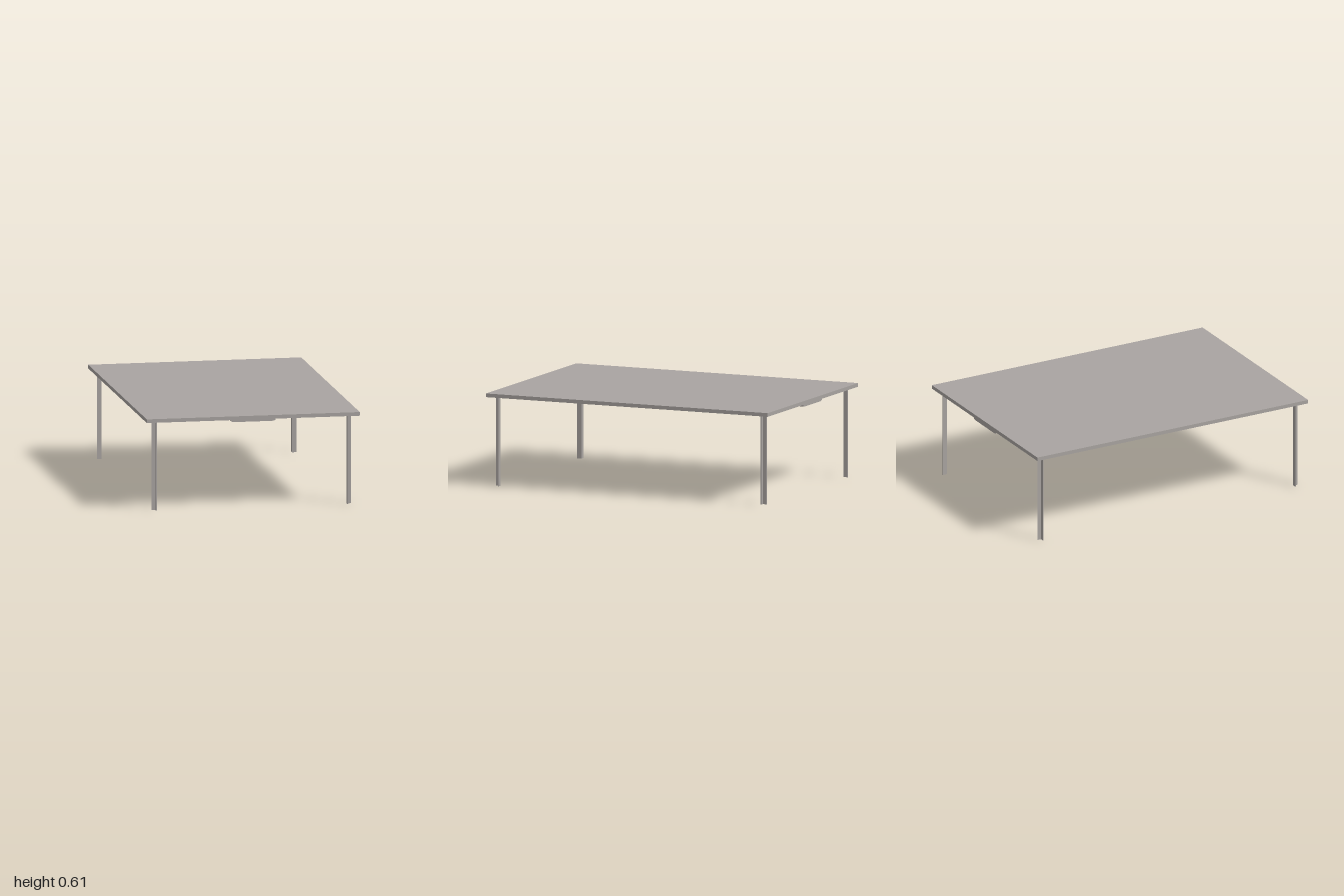
import * as THREE from 'three';

export function createModel() {
  const model = new THREE.Group();
  model.name = 'table';
  const grey = new THREE.MeshStandardMaterial({ color: 0xa9a4a1 });
  grey.name = 'warm grey';

  const add = (name, geometry) => {
    const mesh = new THREE.Mesh(geometry, grey);
    mesh.name = name;
    model.add(mesh);
    return mesh;
  };

  // Flat top slab
  const TOP = 0.608, UNDER = 0.584;
  add('tableTop', new THREE.BoxGeometry(1.4, TOP - UNDER, 2)).position.y = (TOP + UNDER) / 2;

  // Shallow tray along the whole underside, with rounded lower edges
  const tray = new THREE.Shape();
  tray.moveTo(-0.145, UNDER);
  tray.lineTo(-0.145, 0.576);
  tray.quadraticCurveTo(-0.135, 0.57, -0.115, 0.57);
  tray.lineTo(0.115, 0.57);
  tray.quadraticCurveTo(0.135, 0.57, 0.145, 0.576);
  tray.lineTo(0.145, UNDER);
  const trayGeometry = new THREE.ExtrudeGeometry(tray, { depth: 1.996, bevelEnabled: false, curveSegments: 6 });
  add('underTray', trayGeometry.translate(0, 0, -0.998));

  // Angle-section legs, the inner corner of each angle towards the table centre
  const X = 0.626, Z = 0.93, SIZE = 0.03, T = 0.005;
  for (const sx of [-1, 1]) {
    for (const sz of [-1, 1]) {
      const p = (x, z) => new THREE.Vector2(sx * (X + x), -sz * (Z + z));
      const section = new THREE.Shape([
        p(0, 0), p(SIZE, 0), p(SIZE, T), p(T, T), p(T, SIZE), p(0, SIZE),
      ]);
      const leg = new THREE.ExtrudeGeometry(section, { depth: UNDER, bevelEnabled: false });
      leg.rotateX(-Math.PI / 2);
      add((sz > 0 ? 'front' : 'back') + (sx > 0 ? 'Left' : 'Right') + 'Leg', leg);
    }
  }
  return model;
}
